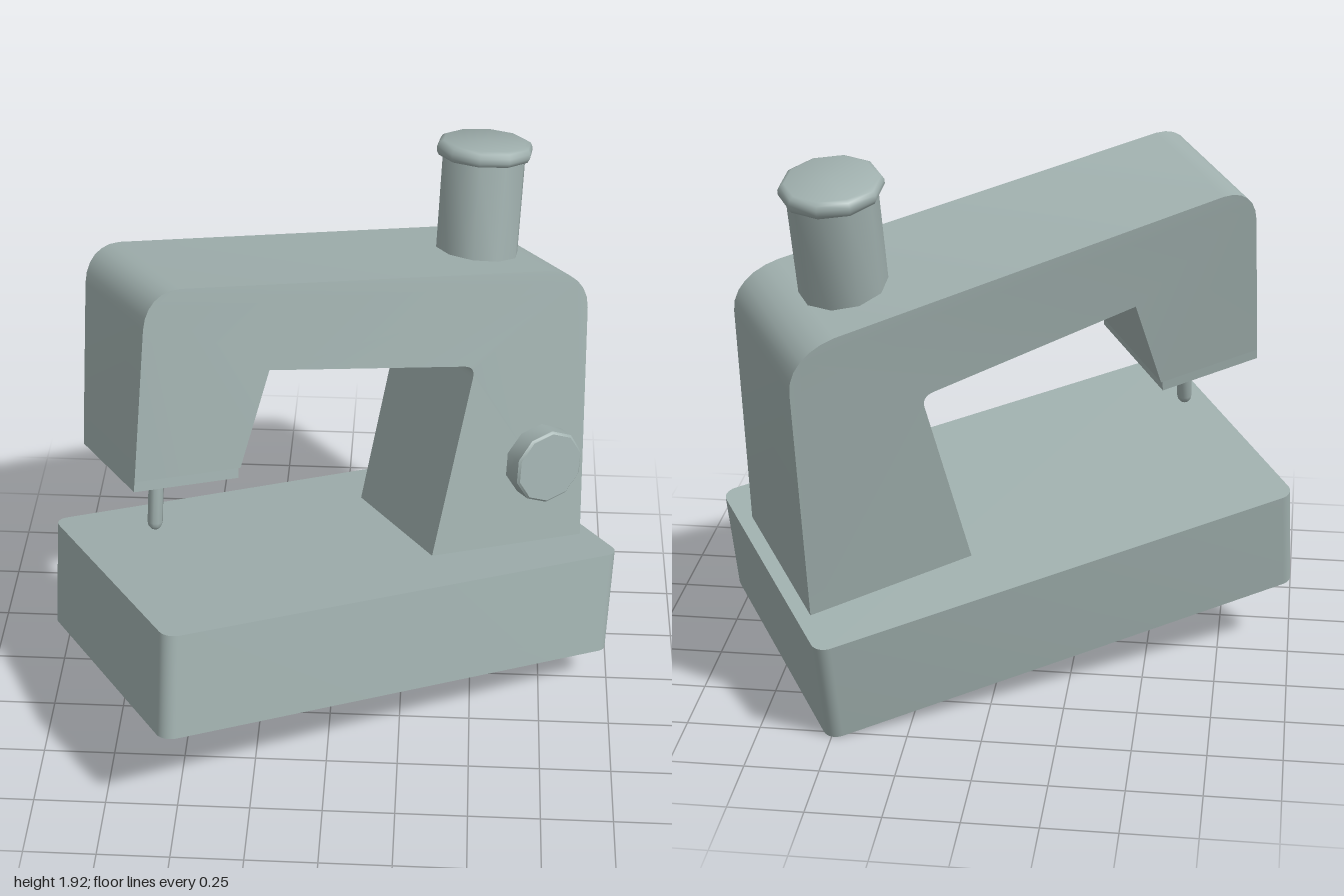
import * as THREE from 'three';
import { toCreasedNormals } from 'three/addons/utils/BufferGeometryUtils.js';

const enamel = new THREE.MeshStandardMaterial({ color: 0xa0b0ae });
enamel.name = 'greyGreenEnamel';

const BASE_H = 0.384;

function part(name, geometry, crease = 0.6) {
  const mesh = new THREE.Mesh(toCreasedNormals(geometry, crease), enamel);
  mesh.name = name;
  return mesh;
}

// Flat outline in plan, raised upwards
function slab(shape, height, curveSegments = 4) {
  return new THREE.ExtrudeGeometry(shape, { depth: height, bevelEnabled: false, curveSegments })
    .rotateX(-Math.PI / 2);
}

function roundedRect(hw, hd, r) {
  const s = new THREE.Shape();
  s.absarc(hw - r, hd - r, r, 0, Math.PI / 2);
  s.absarc(-hw + r, hd - r, r, Math.PI / 2, Math.PI);
  s.absarc(-hw + r, -hd + r, r, Math.PI, Math.PI * 1.5);
  s.absarc(hw - r, -hd + r, r, Math.PI * 1.5, Math.PI * 2);
  s.closePath();
  return s;
}

// Half thickness of the body: widest at the foot of the column, slimmest at the head
function halfDepth(x, y) {
  const column = 0.30 - 0.03 * (y - BASE_H);
  const head = 0.217 + 0.04 * (y - 0.79);
  return THREE.MathUtils.lerp(head, column, (x + 0.886) / 1.716);
}

// Column, arm and head in one side profile
function bodyGeometry() {
  const s = new THREE.Shape();
  s.moveTo(0.239, BASE_H - 0.004);
  s.lineTo(0.835, BASE_H - 0.004);
  s.lineTo(0.791, 1.25);
  s.bezierCurveTo(0.787, 1.33, 0.72, 1.39, 0.62, 1.40);
  s.lineTo(-0.755, 1.488);
  s.bezierCurveTo(-0.83, 1.49, -0.876, 1.44, -0.878, 1.36);
  s.lineTo(-0.886, 0.825);
  s.lineTo(-0.510, 0.825);
  s.lineTo(-0.424, 1.166);
  s.lineTo(0.315, 1.088);
  s.quadraticCurveTo(0.358, 1.082, 0.35, 1.04);
  s.closePath();
  const g = new THREE.ExtrudeGeometry(s, { depth: 1, bevelEnabled: false, curveSegments: 6 });
  const p = g.attributes.position;
  for (let i = 0; i < p.count; i++) {
    const d = halfDepth(p.getX(i), p.getY(i));
    p.setZ(i, p.getZ(i) > 0.5 ? d : -d);
  }
  return g;
}

// Open rim under the head, leaving a shallow recess
function headRimGeometry() {
  const l = -0.886, r = -0.516, t = 0.045;
  const dl = halfDepth(l, 0.79), dr = halfDepth(r, 0.79);
  const s = new THREE.Shape([
    new THREE.Vector2(l, -dl), new THREE.Vector2(r, -dr),
    new THREE.Vector2(r, dr), new THREE.Vector2(l, dl),
  ]);
  s.holes.push(new THREE.Path([
    new THREE.Vector2(l + t, -dl + t), new THREE.Vector2(l + t, dl - t),
    new THREE.Vector2(r - t, dr - t), new THREE.Vector2(r - t, -dr + t),
  ]));
  return slab(s, 0.036).translate(0, 0.789, 0);
}

function lathe(points, sides) {
  return new THREE.LatheGeometry(points.map(([r, y]) => new THREE.Vector2(r, y)), sides);
}

export function createModel() {
  const model = new THREE.Group();
  model.name = 'sewingMachine';
  const machine = new THREE.Group();
  machine.name = 'machine';
  model.add(machine);

  machine.add(part('base', slab(roundedRect(0.884, 0.49, 0.05), BASE_H)));
  machine.add(part('body', bodyGeometry(), 0.5));
  machine.add(part('headRim', headRimGeometry()));

  // Thread spool with a rounded lip
  const spool = part('spool', lathe([
    [0.146, 1.34], [0.146, 1.745], [0.160, 1.748], [0.168, 1.762],
    [0.168, 1.778], [0.160, 1.793], [0.146, 1.80], [0, 1.80],
  ], 10), 0.9);
  spool.position.x = 0.49;
  machine.add(spool);

  // Dial on the front of the column
  const dial = part('dial', lathe([
    [0.135, 0.25], [0.135, 0.352], [0.127, 0.36], [0, 0.36],
  ], 10).rotateX(Math.PI / 2), 0.7);
  dial.position.set(0.639, 0.70, 0);
  machine.add(dial);

  // Needle with a rounded tip
  const needle = part('needle', lathe([
    [0, 0.533], [0.014, 0.537], [0.023, 0.548], [0.026, 0.562], [0.026, 0.84],
  ], 10), 0.9);
  needle.position.x = -0.71;
  machine.add(needle);

  // The whole machine sits turned and tilted
  const along = new THREE.Vector3(0.861, -0.147, -0.487).normalize();
  const front = new THREE.Vector3(0.507, 0.172, 0.845);
  const up = front.clone().cross(along).normalize();
  front.crossVectors(along, up);
  machine.quaternion.setFromRotationMatrix(new THREE.Matrix4().makeBasis(along, up, front));
  machine.position.set(-0.007, 0.213, 0.045);
  return model;
}
